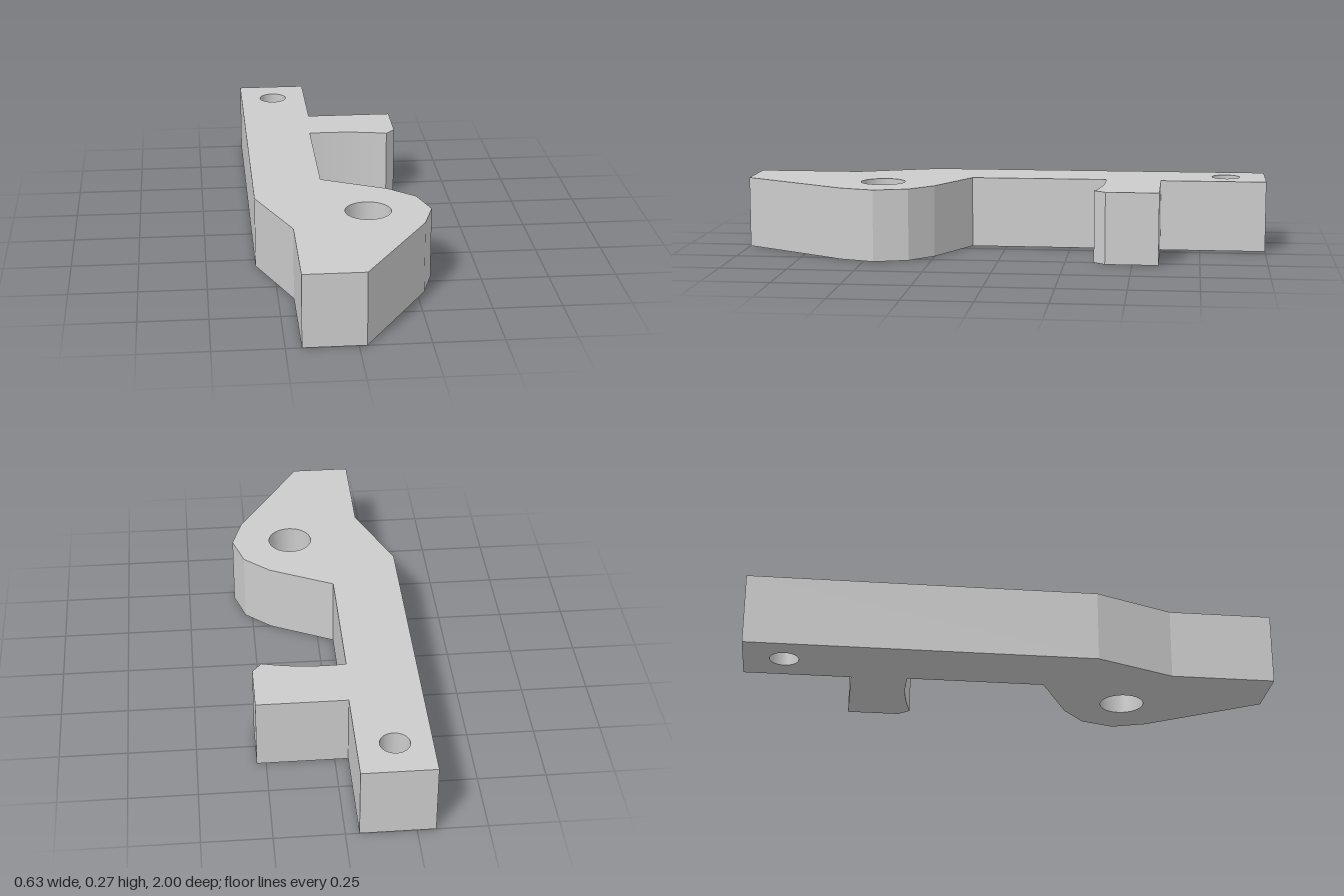
import * as THREE from 'three';

const HEIGHT = 0.27;

// Round through-hole at plan position (x, z), wound against the outline
function hole(x, z, radius) {
  const path = new THREE.Path();
  path.absarc(x, -z, radius, 0, Math.PI * 2, false);
  return path;
}

export function createModel() {
  const group = new THREE.Group();
  group.name = 'leverBracket';
  const grey = new THREE.MeshStandardMaterial({ color: 0xcccccc });
  grey.name = 'plain grey';

  // Plan outline as (x, z), drawn clockwise with shape y = -z
  const shape = new THREE.Shape();
  const line = (points) => points.forEach(([x, z]) => shape.lineTo(x, -z));

  // Bar end and side arm
  shape.moveTo(-0.317, 1);
  line([[-0.049, -1], [-0.049, -0.598], [0.284, -0.598], [0.284, -0.4], [0.248, -0.357]]);
  // Hollowed inner edge of the arm
  shape.quadraticCurveTo(0.1, 0.397, -0.06, 0.385);
  // Pivot lobe and tapered foot
  line([
    [-0.06, 0.134], [0.18, 0.25], [0.277, 0.335], [0.317, 0.462], [0.277, 0.59],
    [0.028, 1], [-0.194, 1], [-0.194, 0.607], [-0.317, 0.307],
  ]);
  shape.closePath();

  // Small fixing hole and larger pivot hole
  shape.holes.push(hole(-0.184, -0.848, 0.054), hole(0.086, 0.461, 0.084));

  const geometry = new THREE.ExtrudeGeometry(shape, {
    depth: HEIGHT, bevelEnabled: false, curveSegments: 24,
  });
  geometry.rotateX(-Math.PI / 2);

  const body = new THREE.Mesh(geometry, grey);
  body.name = 'bracketBody';
  group.add(body);
  return group;
}
